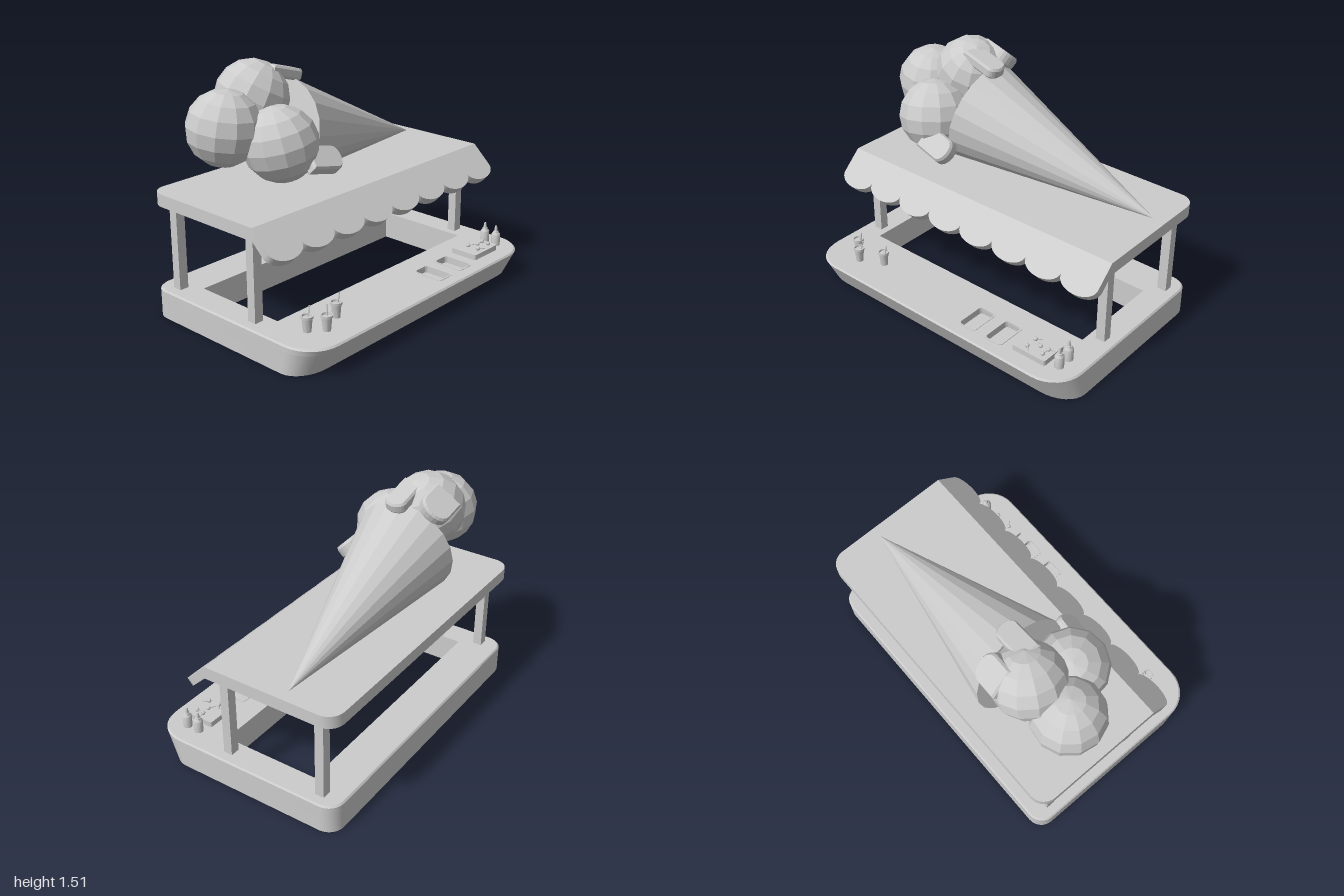
import * as THREE from 'three';
import { toCreasedNormals } from 'three/addons/utils/BufferGeometryUtils.js';

const smooth = new THREE.MeshStandardMaterial({ color: 0xcccccc, side: THREE.DoubleSide });
const faceted = new THREE.MeshStandardMaterial({ color: 0xcccccc, flatShading: true });

function add(parent, name, geometry, material = smooth, x = 0, y = 0, z = 0) {
  const mesh = new THREE.Mesh(geometry, material);
  mesh.name = name;
  mesh.position.set(x, y, z);
  parent.add(mesh);
  return mesh;
}

// Plan outline with rounded corners (front and back radius)
function plan(x0, x1, z0, z1, rFront, rBack, Type = THREE.Shape) {
  const s = new Type();
  const corner = (x, z, r, a) => {
    if (r > 0) s.absarc(x, -z, r, a, a + Math.PI / 2, false);
    else s.lineTo(x, -z);
  };
  s.moveTo(x0 + rFront, -z1);
  corner(x1 - rFront, z1 - rFront, rFront, -Math.PI / 2);
  corner(x1 - rBack, z0 + rBack, rBack, 0);
  corner(x0 + rBack, z0 + rBack, rBack, Math.PI / 2);
  corner(x0 + rFront, z1 - rFront, rFront, Math.PI);
  s.closePath();
  return s;
}

// Extrude a plan upwards, optionally moving its vertices by a rule
function slab(shape, y0, y1, rule) {
  const g = new THREE.ExtrudeGeometry(shape, { depth: y1 - y0, bevelEnabled: false, curveSegments: 4 });
  g.rotateX(-Math.PI / 2).translate(0, y0, 0);
  if (rule) {
    const p = g.attributes.position, v = new THREE.Vector3();
    for (let i = 0; i < p.count; i++) {
      rule(v.fromBufferAttribute(p, i));
      p.setXYZ(i, v.x, v.y, v.z);
    }
  }
  return toCreasedNormals(g, 0.5);
}

// Counter ring with a leaning front, two sinks and a bevelled top edge
function buildCounter(root) {
  const group = new THREE.Group();
  group.name = 'counter';
  root.add(group);
  const sinks = [[0.18, 0.31], [0.38, 0.51]];
  const ring = (withSinks) => {
    const s = plan(-1, 1, -0.65, 0.65, 0.2, 0.1);
    s.holes.push(plan(-0.83, 0.83, -0.4, 0.22, 0, 0, THREE.Path));
    if (withSinks) for (const [a, b] of sinks) s.holes.push(plan(a + 0.01, b - 0.01, 0.37, 0.56, 0.02, 0.02, THREE.Path));
    return s;
  };
  const lean = (v) => {
    if (v.z > 0.3) v.z -= ((v.z - 0.3) / 0.35) * 0.09 * (1 - Math.min(v.y / 0.17, 1));
  };
  const bevel = (v) => {
    if (v.y > 0.175 && (Math.abs(v.x) > 0.84 || v.z > 0.6 || v.z < -0.42)) {
      v.x *= 0.992;
      v.z *= 0.987;
    }
  };
  add(group, 'counterBase', slab(ring(false), 0, 0.14, lean));
  add(group, 'counterTop', slab(ring(true), 0.14, 0.17, lean));
  add(group, 'counterEdge', slab(ring(true), 0.17, 0.18, bevel));
  for (const [a, b] of sinks) {
    const rim = plan(a, b, 0.36, 0.57, 0.025, 0.025);
    rim.holes.push(plan(a + 0.01, b - 0.01, 0.37, 0.56, 0.02, 0.02, THREE.Path));
    add(group, 'sinkRim', slab(rim, 0.179, 0.183));
  }
}

// Roof, posts and scalloped awning
function buildCanopy(root) {
  for (const x of [-0.907, 0.907]) for (const z of [0.128, -0.512])
    add(root, 'post', new THREE.BoxGeometry(0.06, 0.53, 0.057), smooth, x, 0.44, z);
  add(root, 'roof', slab(plan(-0.99, 0.99, -0.645, 0.21, 0, 0.1), 0.7, 0.777));
  add(root, 'ceilingRidge', new THREE.BoxGeometry(0.98, 0.012, 0.02), smooth, 0.09, 0.7, -0.3);

  const s = new THREE.Shape(), w = 1.98 / 8;
  s.moveTo(0.99, 0);
  s.lineTo(-0.99, 0);
  s.lineTo(-0.99, -0.165);
  for (let i = 0; i < 8; i++)
    s.absellipse(-0.99 + w * (i + 0.5), -0.165, w / 2, 0.075, Math.PI, Math.PI * 2, false);
  s.closePath();
  const g = new THREE.ExtrudeGeometry(s, { depth: 0.054, bevelEnabled: false, curveSegments: 10 });
  g.translate(0, 0, -0.054).rotateX(-0.815);
  add(root, 'awning', toCreasedNormals(g, 0.5), smooth, 0, 0.777, 0.21);
}

// Tongue of melted ice cream from start to tip, lying across the given normal
function drip(parent, start, tip, normal, width, thick) {
  const a = new THREE.Vector3(...start), b = new THREE.Vector3(...tip);
  const axis = b.clone().sub(a), len = axis.length();
  axis.normalize();
  const side = new THREE.Vector3(...normal).cross(axis).normalize();
  const up = axis.clone().cross(side);
  const r = width / 2, s = new THREE.Shape();
  s.moveTo(0, -r);
  s.lineTo(len - r * 0.7, -r);
  s.absellipse(len - r * 0.7, 0, r * 0.7, r, -Math.PI / 2, Math.PI / 2, false);
  s.lineTo(0, r);
  s.closePath();
  const g = new THREE.ExtrudeGeometry(s, {
    depth: thick * 0.6, bevelThickness: thick * 0.2, bevelSize: 0.01, bevelOffset: -0.01,
    bevelSegments: 1, curveSegments: 5,
  });
  g.translate(0, 0, -thick * 0.3);
  g.applyMatrix4(new THREE.Matrix4().makeBasis(axis, side, up).setPosition(a));
  add(parent, 'drip', g, faceted);
}

// Giant ice cream cone lying on the roof
function buildIceCream(root) {
  const group = new THREE.Group();
  group.name = 'iceCream';
  root.add(group);
  const tip = new THREE.Vector3(0.92, 0.782, -0.305), base = new THREE.Vector3(-0.335, 1.08, -0.25);
  const dir = tip.clone().sub(base);
  const cone = add(group, 'cone', new THREE.ConeGeometry(0.315, dir.length(), 20), faceted);
  cone.position.copy(tip).add(base).multiplyScalar(0.5);
  cone.quaternion.setFromUnitVectors(new THREE.Vector3(0, 1, 0), dir.normalize());

  const scoops = [[-0.745, 1.175, -0.257, 0.1], [-0.48, 1.29, -0.315, 0.5], [-0.53, 1.08, -0.035, -0.15]];
  for (const [x, y, z, tilt] of scoops)
    add(group, 'scoop', new THREE.SphereGeometry(0.222, 12, 8), faceted, x, y, z).rotation.set(tilt, tilt, -tilt);

  drip(group, [-0.47, 1.0, 0.11], [-0.245, 0.955, 0.14], [0, 0.7, 0.7], 0.155, 0.085);
  drip(group, [-0.42, 1.45, -0.25], [-0.18, 1.38, -0.242], [0.2, 1, 0], 0.135, 0.07);
  drip(group, [-0.45, 1.41, -0.45], [-0.255, 1.355, -0.44], [0.2, 0.75, -0.6], 0.19, 0.08);
}

// Cups, topping tray and sauce bottles on the counter
function buildServing(root) {
  const top = 0.18;
  const lathe = (pts, n) => toCreasedNormals(
    new THREE.LatheGeometry(pts.map(([r, y]) => new THREE.Vector2(r, y)), n), 0.7);
  const cup = [[0, 0], [0.023, 0], [0.03, 0.08], [0.035, 0.081], [0.035, 0.095], [0.029, 0.095], [0.027, 0.083], [0, 0.083]];
  for (const [x, z, turn] of [[-0.805, 0.425, 0.3], [-0.725, 0.495, 0.6], [-0.575, 0.425, 0]]) {
    const group = new THREE.Group();
    group.name = 'cup';
    group.position.set(x, top, z);
    group.rotation.y = turn;
    add(group, 'cupBody', lathe(cup, 12));
    add(group, 'straw', new THREE.CylinderGeometry(0.004, 0.004, 0.11, 6), smooth, 0.016, 0.09, 0).rotation.z = -0.2;
    root.add(group);
  }

  add(root, 'tray', slab(plan(0.572, 0.808, 0.362, 0.545, 0.015, 0.015), top, 0.214));
  const sweets = [[0.655, 0.43, 0.7], [0.715, 0.46, 2.6], [0.768, 0.455, 0.2], [0.655, 0.505, -0.8], [0.765, 0.505, 1.5]];
  for (const [x, z, turn] of sweets) {
    const group = new THREE.Group();
    group.name = 'lollipop';
    group.position.set(x, 0.224, z);
    group.rotation.y = turn;
    add(group, 'sweet', new THREE.SphereGeometry(0.013, 8, 6));
    add(group, 'stick', new THREE.CylinderGeometry(0.003, 0.003, 0.035, 6), smooth, 0.025).rotation.z = Math.PI / 2;
    root.add(group);
  }

  const bottle = [[0, 0], [0.028, 0], [0.028, 0.075], [0.017, 0.088], [0.017, 0.094], [0.012, 0.096], [0.006, 0.13], [0, 0.13]];
  for (const z of [0.405, 0.49]) add(root, 'sauceBottle', lathe(bottle, 12), smooth, 0.87, top, z);
}

export function createModel() {
  const root = new THREE.Group();
  root.name = 'iceCreamStand';
  buildCounter(root);
  buildCanopy(root);
  buildIceCream(root);
  buildServing(root);
  return root;
}
